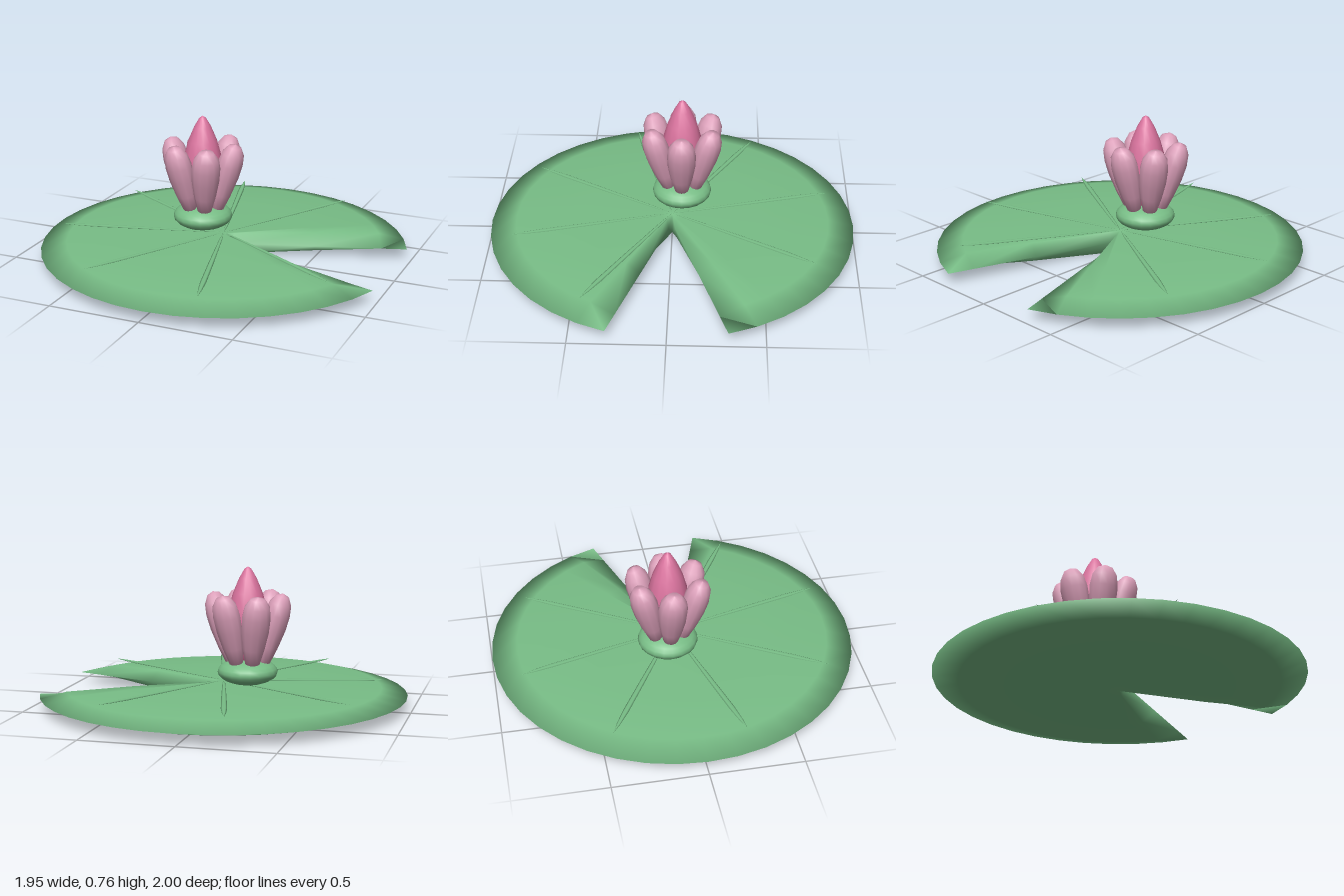
import * as THREE from 'three';
import { mergeVertices } from 'three/addons/utils/BufferGeometryUtils.js';

const leafGreen = new THREE.MeshStandardMaterial({ name: 'leafGreen', color: 0x78bd86 });
const petalPink = new THREE.MeshStandardMaterial({ name: 'petalPink', color: 0xdb9fb9 });
const budPink = new THREE.MeshStandardMaterial({ name: 'budPink', color: 0xdb749f });

const CENTRE_X = 0.025;

function addMesh(parent, name, geometry, material) {
  const mesh = new THREE.Mesh(geometry, material);
  mesh.name = name;
  parent.add(mesh);
  return mesh;
}

function lathe(points, sides) {
  return new THREE.LatheGeometry(points.map(([r, y]) => new THREE.Vector2(r, y)), sides);
}

// Lens-shaped disc with a notch; both notch sides pinch to a thin edge
function padGeometry() {
  const mid = 0.063, steps = 36;
  const profile = [[0, 0.122], [0.06, 0.121], [0.5, 0.114], [0.86, 0.1], [1, mid],
    [0.86, 0.026], [0.5, 0.009], [0.06, 0.001], [0, 0]];
  const n = profile.length;
  const positions = [], index = [];
  for (let i = 0; i <= steps; i++) {
    const angle = THREE.MathUtils.degToRad(18 + (324 * i) / steps);
    const pinched = i === 0 || i === steps;
    for (const [r, y] of profile) {
      positions.push(r * Math.cos(angle), pinched && r > 0 ? mid : y, r * Math.sin(angle));
    }
  }
  for (let i = 0; i < steps; i++) {
    for (let j = 0; j < n - 1; j++) {
      const a = i * n + j, b = a + 1, d = a + n, c = d + 1;
      if (j > 0) index.push(a, d, b);
      if (j < n - 2) index.push(d, c, b);
      else index.push(a, d, b);
      if (j === 0) index.push(a, c, b);
    }
  }
  // Close the small gap at the heart of the notch
  const last = steps * n;
  index.push(0, 1, n - 1, last, last + n - 1, last + 1);

  let geometry = new THREE.BufferGeometry();
  geometry.setAttribute('position', new THREE.Float32BufferAttribute(positions, 3));
  geometry.setIndex(index);
  geometry = mergeVertices(geometry, 1e-4);
  geometry.computeVertexNormals();
  return geometry;
}

export function createModel() {
  const model = new THREE.Group();
  model.name = 'waterLily';

  // Floating leaf
  const pad = new THREE.Group();
  pad.name = 'lilyPad';
  pad.position.x = CENTRE_X;
  model.add(pad);
  addMesh(pad, 'padDisc', padGeometry(), leafGreen);

  // Slim veins radiating from the notch
  const veinShape = lathe([[0, 0], [0.008, 0.1], [0.014, 0.45], [0.016, 0.72], [0.01, 0.82], [0, 0.895]], 6);
  veinShape.rotateZ(-Math.PI / 2);
  veinShape.scale(1, 0.35, 1);
  for (let k = 0; k < 7; k++) {
    const vein = addMesh(pad, 'vein', veinShape, leafGreen);
    vein.position.y = 0.128;
    vein.rotation.y = -THREE.MathUtils.degToRad(30 + 45 * k);
  }

  // Flower
  const flower = new THREE.Group();
  flower.name = 'flower';
  flower.position.set(-0.122, 0, -0.05);
  model.add(flower);

  const calyx = addMesh(flower, 'calyx', new THREE.SphereGeometry(1, 20, 12), leafGreen);
  calyx.scale.set(0.163, 0.072, 0.163);
  calyx.position.y = 0.193;

  addMesh(flower, 'bud', lathe([[0, 0.22], [0.08, 0.28], [0.112, 0.42], [0.105, 0.53], [0.08, 0.62],
    [0.047, 0.7], [0.018, 0.75], [0, 0.762]], 14), budPink);

  // Ring of six petals leaning outward
  const petalShape = lathe([[0, 0], [0.04, 0.03], [0.06, 0.12], [0.075, 0.22], [0.078, 0.3],
    [0.068, 0.36], [0.04, 0.402], [0, 0.416]], 12);
  petalShape.scale(0.88, 1, 1);
  for (let k = 0; k < 6; k++) {
    const arm = new THREE.Group();
    arm.name = 'petalArm';
    arm.rotation.y = (k * Math.PI) / 3;
    flower.add(arm);
    const petal = addMesh(arm, 'petal', petalShape, petalPink);
    petal.position.set(0.08, 0.222, 0);
    petal.rotation.z = -0.28;
  }
  return model;
}
